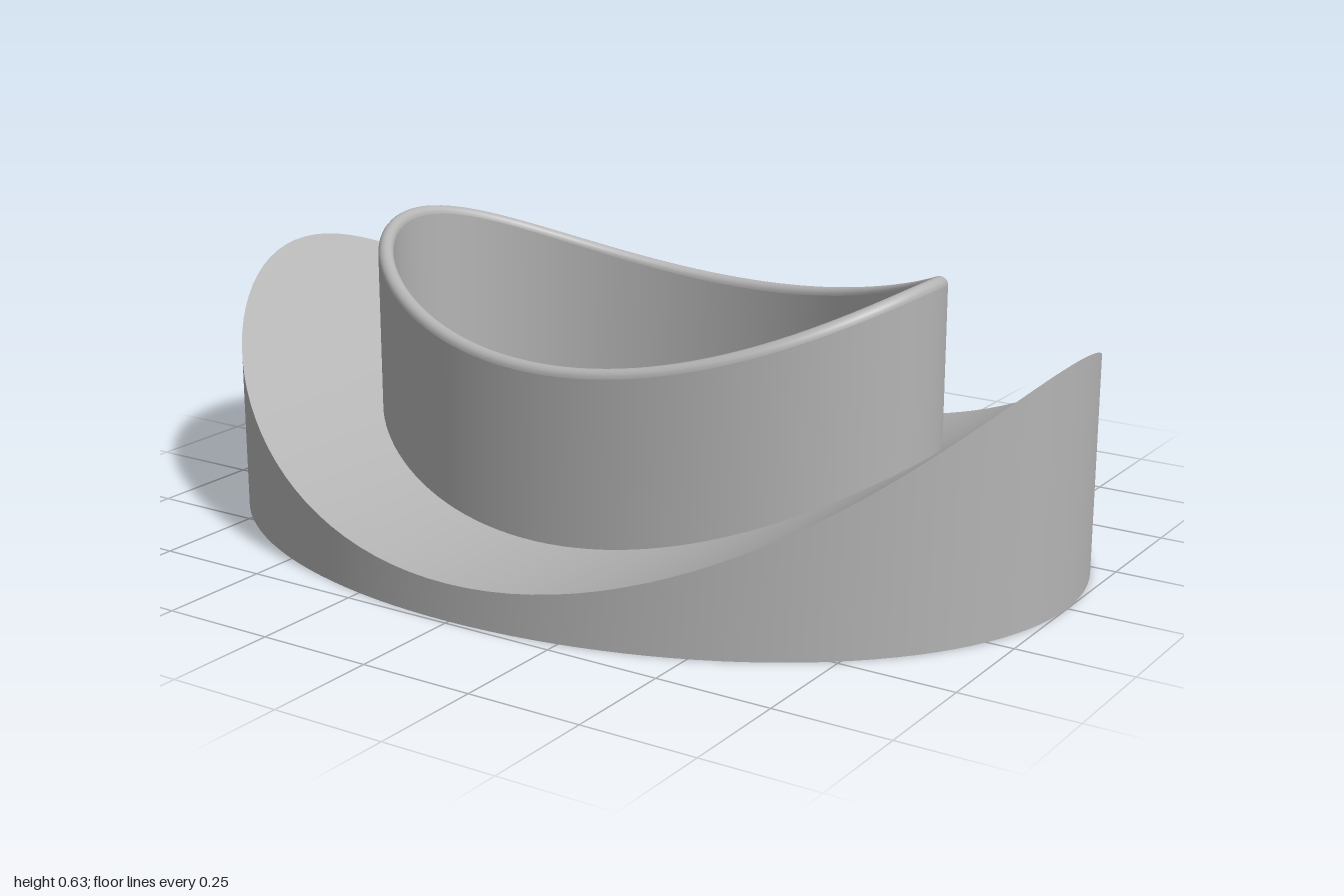
import * as THREE from 'three';

const SEGMENTS = 128;
const RADIUS = 1.356; // radius of the saddle curve across x
const saddle = (x) => 0.08 + RADIUS - Math.sqrt(RADIUS * RADIUS - x * x);

// Joins elliptical rings [a, b, height(cos t)] into a smooth band
function loft(rings) {
  const positions = [], index = [];
  rings.forEach(([a, b, height], r) => {
    for (let i = 0; i < SEGMENTS; i++) {
      const t = (i / SEGMENTS) * Math.PI * 2;
      positions.push(a * Math.cos(t), height(Math.cos(t)), b * Math.sin(t));
      if (r === rings.length - 1) continue;
      const j = (i + 1) % SEGMENTS;
      const p = r * SEGMENTS + i, q = r * SEGMENTS + j;
      index.push(p, p + SEGMENTS, q, q, p + SEGMENTS, q + SEGMENTS);
    }
  });
  const geometry = new THREE.BufferGeometry();
  geometry.setAttribute('position', new THREE.Float32BufferAttribute(positions, 3));
  geometry.setIndex(index);
  geometry.computeVertexNormals();
  return geometry;
}

export function createModel() {
  const group = new THREE.Group();
  group.name = 'saddleRing';
  const grey = new THREE.MeshStandardMaterial({ color: 0xb4b4b4 });
  grey.name = 'grey';
  const add = (name, rings) => {
    const mesh = new THREE.Mesh(loft(rings), grey);
    mesh.name = name;
    group.add(mesh);
  };

  const outer = [1, 0.74], collar = [0.675, 0.445], bore = [0.64, 0.41];
  const floor = () => 0;
  const onSaddle = (a, lift = 0) => (c) => saddle(a * c) + lift;

  // Base: outer wall, curved flange and flat underside
  add('baseWall', [[...outer, floor], [...outer, onSaddle(outer[0])]]);
  const flange = [];
  for (let i = 0; i <= 12; i++) {
    const a = THREE.MathUtils.lerp(outer[0], collar[0], i / 12);
    const b = THREE.MathUtils.lerp(outer[1], collar[1], i / 12);
    flange.push([a, b, onSaddle(a)]);
  }
  add('flangeTop', flange);
  add('underside', [[...bore, floor], [...outer, floor]]);

  // Collar: outer wall, rounded lip and bore wall
  const lip = (collar[0] - bore[0]) / 2;
  const midA = bore[0] + lip, midB = bore[1] + lip;
  const rim = onSaddle(midA, 0.38 - lip);
  add('collarWall', [[...collar, onSaddle(collar[0])], [...collar, rim]]);
  const lipRings = [];
  for (let i = 0; i <= 10; i++) {
    const u = (i / 10) * Math.PI;
    const out = lip * Math.cos(u), up = lip * Math.sin(u);
    lipRings.push([midA + out, midB + out, (c) => rim(c) + up]);
  }
  add('collarLip', lipRings);
  add('boreWall', [[...bore, rim], [...bore, floor]]);

  return group;
}
